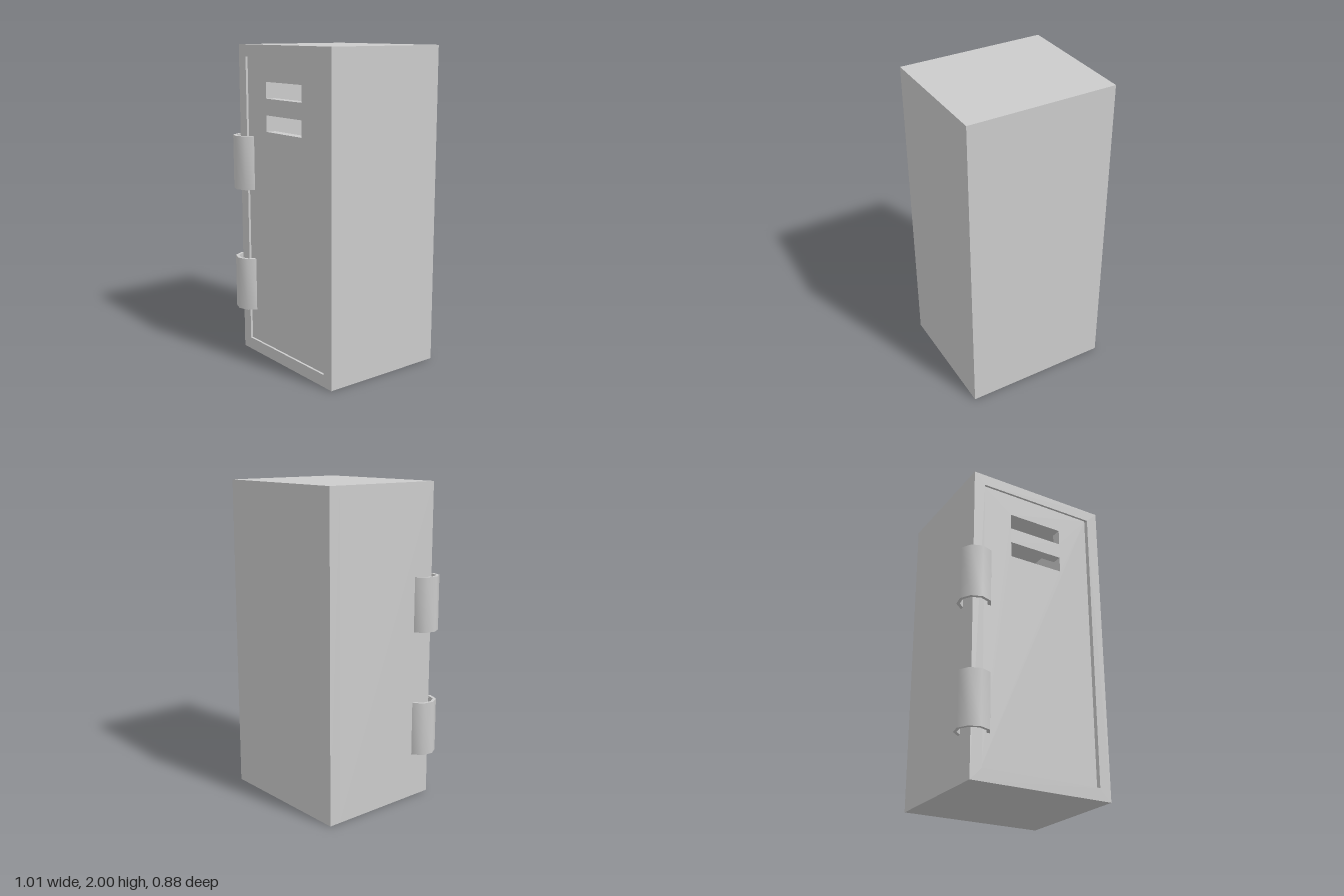
import * as THREE from 'three';
import { toCreasedNormals } from 'three/addons/utils/BufferGeometryUtils.js';

const material = new THREE.MeshStandardMaterial({ color: 0xcccccc });

// Closed rectangle outline
function rect(PathType, x0, x1, y0, y1) {
  return new PathType([
    [x0, y0], [x1, y0], [x1, y1], [x0, y1],
  ].map(([x, y]) => new THREE.Vector2(x, y)));
}

// Regular polygon outline with one corner at the +y end
function polygon(PathType, radius, sides) {
  const points = [];
  for (let i = 0; i < sides; i++) {
    const a = Math.PI / 2 + (i / sides) * Math.PI * 2;
    points.push(new THREE.Vector2(Math.cos(a) * radius, Math.sin(a) * radius));
  }
  return new PathType(points);
}

function part(name, geometry, x = 0, y = 0, z = 0) {
  const mesh = new THREE.Mesh(geometry, material);
  mesh.name = name;
  mesh.position.set(x, y, z);
  return mesh;
}

const extrude = (shape, depth) =>
  new THREE.ExtrudeGeometry(shape, { depth, bevelEnabled: false });

export function createModel() {
  const locker = new THREE.Group();
  locker.name = 'locker';

  const left = -0.435, right = 0.505, back = -0.44, front = 0.38;
  const wall = 0.075;
  const inner = { x0: left + wall, x1: right - wall, y0: 0.077, y1: 1.926 };

  // Hollow cabinet: four walls and a back panel
  const walls = rect(THREE.Shape, left, right, 0, 2);
  walls.holes.push(rect(THREE.Path, inner.x0, inner.x1, inner.y0, inner.y1));
  locker.add(part('cabinetWalls', extrude(walls, front - back - wall), 0, 0, back + wall));
  locker.add(part('backPanel', new THREE.BoxGeometry(right - left, 2, wall),
    (left + right) / 2, 1, back + wall / 2));

  // Recessed door with two vent slots and a thin gap on the opening side
  const doorFront = 0.365, doorDepth = 0.065;
  const door = rect(THREE.Shape, inner.x0, inner.x1 - 0.012, inner.y0, inner.y1);
  for (const y of [1.472, 1.676]) {
    door.holes.push(rect(THREE.Path, -0.16, 0.205, y, y + 0.102));
  }
  locker.add(part('door', extrude(door, doorDepth), 0, 0, doorFront - doorDepth));

  // Nine-sided hinge sleeves wrapped around the front corner
  const hingeHeight = 0.345;
  const ring = polygon(THREE.Shape, 0.106, 9);
  ring.holes.push(polygon(THREE.Path, 0.085, 9));
  const hingeGeometry = toCreasedNormals(
    extrude(ring, hingeHeight).rotateX(Math.PI / 2), 0.8);
  [['lowerHinge', 0.285], ['upperHinge', 1.085]].forEach(([name, y]) => {
    locker.add(part(name, hingeGeometry, -0.4, y + hingeHeight, 0.335));
  });

  return locker;
}
